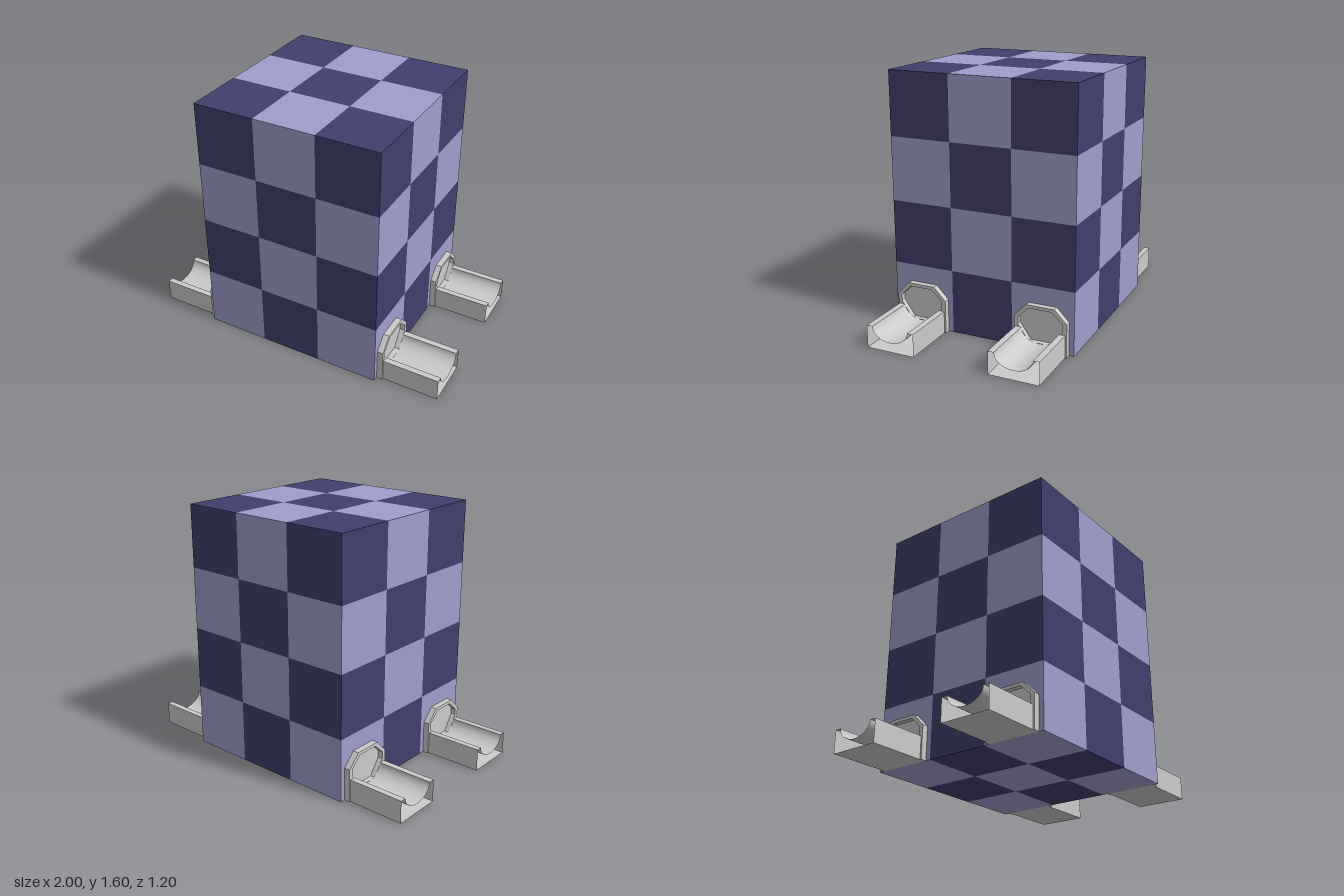
import * as THREE from 'three';
import { mergeGeometries } from 'three/addons/utils/BufferGeometryUtils.js';

const CELL = 0.4;
const grey = new THREE.MeshStandardMaterial({ color: 0xcccccc, side: THREE.DoubleSide });
const greyFlat = new THREE.MeshStandardMaterial({ color: 0xcccccc, side: THREE.DoubleSide, flatShading: true });
const darkMat = new THREE.MeshStandardMaterial({ color: 0x413f6d });
const lightMat = new THREE.MeshStandardMaterial({ color: 0xa09ecc });

function add(parent, name, geometry, material) {
  const mesh = new THREE.Mesh(geometry, material);
  mesh.name = name;
  parent.add(mesh);
  return mesh;
}

// Sweeps a [z, y] profile along x as an open-ended strip
function sweep(profile, x0, x1) {
  const pos = [], idx = [];
  profile.forEach(([z, y], i) => {
    pos.push(x0, y, z, x1, y, z);
    if (i) {
      const a = 2 * i - 2;
      idx.push(a, a + 2, a + 1, a + 1, a + 2, a + 3);
    }
  });
  const g = new THREE.BufferGeometry();
  g.setAttribute('position', new THREE.Float32BufferAttribute(pos, 3));
  g.setIndex(idx);
  g.computeVertexNormals();
  return g;
}

// Outer skin of the block: square tiles in a three-dimensional checker
function makeBlock() {
  const group = new THREE.Group();
  group.name = 'checkeredBlock';
  const tiles = [[], []];
  const place = (i, j, k, nx, ny, nz) => {
    const g = new THREE.PlaneGeometry(CELL, CELL);
    if (ny) g.rotateX(-ny * Math.PI / 2);
    else if (nx) g.rotateY(nx * Math.PI / 2);
    else if (nz < 0) g.rotateY(Math.PI);
    g.translate((i - 1 + nx / 2) * CELL, (j + 0.5 + ny / 2) * CELL, (k - 1 + nz / 2) * CELL);
    tiles[(i + j + k) % 2].push(g);
  };
  for (let a = 0; a < 3; a++) {
    for (let j = 0; j < 4; j++) {
      place(a, j, 2, 0, 0, 1);
      place(a, j, 0, 0, 0, -1);
      place(2, j, a, 1, 0, 0);
      place(0, j, a, -1, 0, 0);
    }
    for (let b = 0; b < 3; b++) {
      place(a, 3, b, 0, 1, 0);
      place(a, 0, b, 0, -1, 0);
    }
  }
  add(group, 'lightTiles', mergeGeometries(tiles[0]), lightMat);
  add(group, 'darkTiles', mergeGeometries(tiles[1]), darkMat);
  return group;
}

// Collar plate with an octagonal recess, and an open trough running outward
function makePort() {
  const port = new THREE.Group();
  const outline = [[-0.168, 0], [0.168, 0], [0.168, 0.21], [0.09, 0.29], [-0.09, 0.29], [-0.168, 0.21]];
  const opening = [[-0.142, 0.16], [-0.142, 0.205], [-0.072, 0.27], [0.072, 0.27],
    [0.142, 0.205], [0.142, 0.16], [0.072, 0.06], [-0.072, 0.06]];
  const toPoints = list => list.map(p => new THREE.Vector2(...p));
  const extrude = (shape, depth, x) =>
    new THREE.ExtrudeGeometry(shape, { depth, bevelEnabled: false }).rotateY(Math.PI / 2).translate(x, 0, 0);

  const collar = new THREE.Shape(toPoints(outline));
  collar.holes.push(new THREE.Path(toPoints(opening)));
  add(port, 'collar', extrude(collar, 0.038, 0.6), greyFlat);
  add(port, 'recessBack', new THREE.ShapeGeometry(new THREE.Shape(toPoints(opening)))
    .rotateY(Math.PI / 2).translate(0.606, 0, 0), greyFlat);

  // Trough: flat outer shell, flat rims, smooth curved channel
  const H = 0.142, W = 0.158, R = 0.12, x0 = 0.638;
  add(port, 'troughShell', sweep([[R, H], [W, H], [W, 0], [-W, 0], [-W, H], [-R, H]], x0, 1), greyFlat);
  const curve = [];
  for (let i = 0; i <= 24; i++) {
    const a = Math.PI * i / 24;
    curve.push([-R * Math.cos(a), H - 0.085 * Math.sin(a)]);
  }
  add(port, 'troughChannel', sweep(curve, x0, 1), grey);
  return port;
}

export function createModel() {
  const model = new THREE.Group();
  model.name = 'checkeredBlockWithTroughs';
  model.add(makeBlock());

  // Two ports on each side
  for (const side of [1, -1]) {
    for (const end of [1, -1]) {
      const port = makePort();
      port.name = (end > 0 ? 'front' : 'back') + (side > 0 ? 'Left' : 'Right') + 'Port';
      port.position.z = end * 0.4;
      if (side < 0) port.rotation.y = Math.PI;
      model.add(port);
    }
  }
  return model;
}
